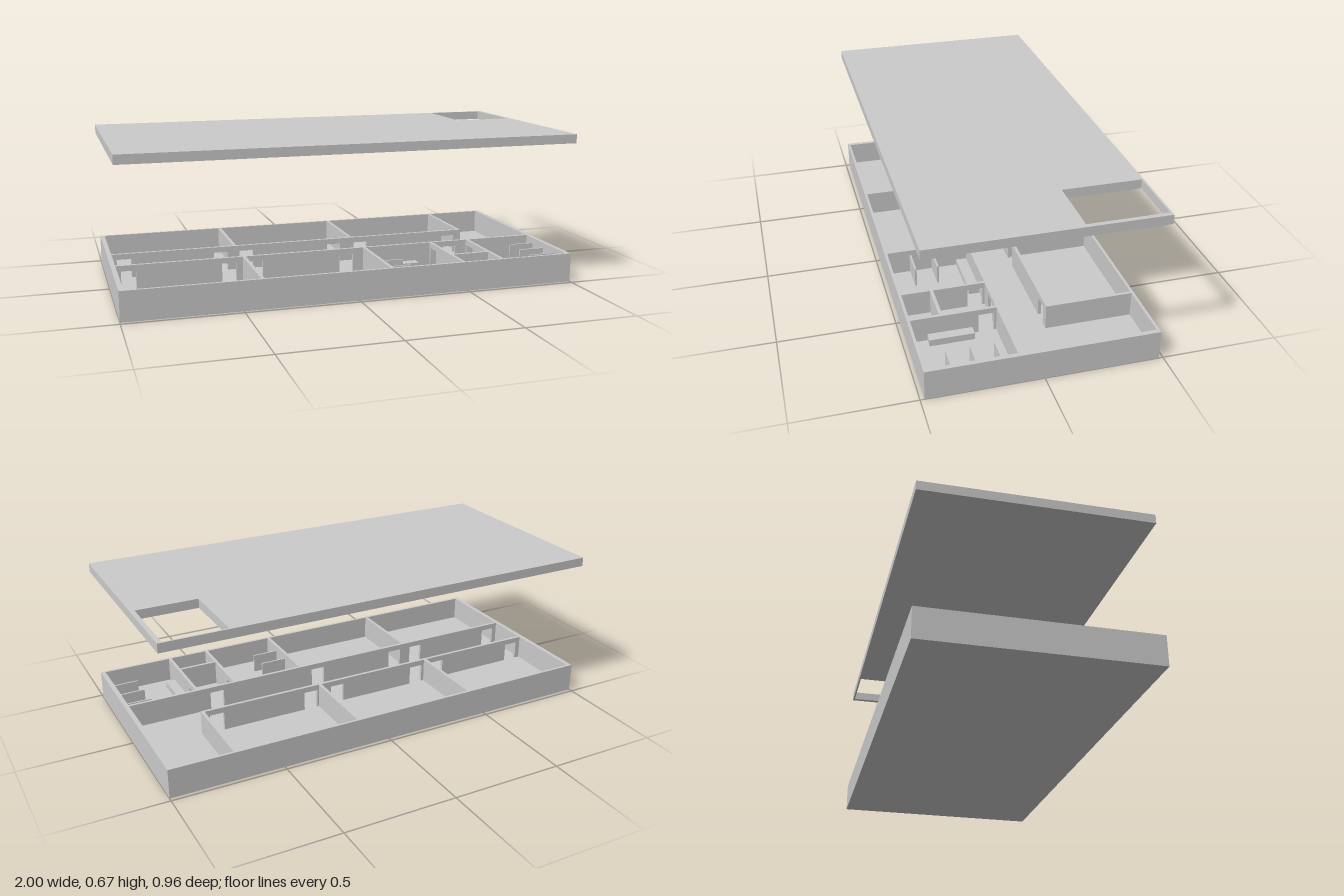
import * as THREE from 'three';

const X = 1, Z = 0.482;           // half length and half depth
const FLOOR = 0.02, TOP = 0.13;   // floor surface and wall top
const DOOR_TOP = 0.105, DOOR_W = 0.065;
const T = 0.014;                  // inner wall thickness
const HALL = 0.1;                 // corridor wall distance from centre

export function createModel() {
  const group = new THREE.Group();
  const material = new THREE.MeshStandardMaterial({ color: 0xcccccc });

  const add = (name, geometry, parent = group) => {
    const mesh = new THREE.Mesh(geometry, material);
    mesh.name = name;
    parent.add(mesh);
    return mesh;
  };

  const box = (name, x0, x1, y0, y1, z0, z1) =>
    add(name, new THREE.BoxGeometry(x1 - x0, y1 - y0, z1 - z0))
      .position.set((x0 + x1) / 2, (y0 + y1) / 2, (z0 + z1) / 2);

  // Wall from a to b with door openings reaching down to the floor
  const wallGeometry = (a, b, doors = []) => {
    const s = new THREE.Shape();
    s.moveTo(a, FLOOR);
    for (const d of doors) {
      s.lineTo(d - DOOR_W / 2, FLOOR);
      s.lineTo(d - DOOR_W / 2, DOOR_TOP);
      s.lineTo(d + DOOR_W / 2, DOOR_TOP);
      s.lineTo(d + DOOR_W / 2, FLOOR);
    }
    s.lineTo(b, FLOOR);
    s.lineTo(b, TOP);
    s.lineTo(a, TOP);
    s.closePath();
    return new THREE.ExtrudeGeometry(s, { depth: T, bevelEnabled: false }).translate(0, 0, -T / 2);
  };
  const wallAlongX = (name, x0, x1, z, doors) =>
    add(name, wallGeometry(x0, x1, doors).translate(0, 0, z));
  const wallAlongZ = (name, z0, z1, x, doors = []) =>
    add(name, wallGeometry(-z1, -z0, doors.map((d) => -d).sort((p, q) => p - q))
      .rotateY(Math.PI / 2).translate(x, 0, 0));

  // Shell: floor plate and outer walls in one open tray
  const rect = (path, x0, x1, y0, y1) => {
    path.moveTo(x0, y0);
    path.lineTo(x1, y0);
    path.lineTo(x1, y1);
    path.lineTo(x0, y1);
    path.closePath();
    return path;
  };
  const ring = (y0, y1, hole) => {
    const s = rect(new THREE.Shape(), -X, X, -Z, Z);
    if (hole) s.holes.push(rect(new THREE.Path(), ...hole));
    return new THREE.ExtrudeGeometry(s, { depth: y1 - y0, bevelEnabled: false })
      .rotateX(-Math.PI / 2).translate(0, y0, 0);
  };
  const inX = X - 0.02, inZ = Z - 0.012;
  add('floor', ring(0, FLOOR));
  add('outerWalls', ring(FLOOR, TOP, [-inX, inX, -inZ, inZ]));

  // Raised roof slab with the stairwell opening
  add('roofSlab', ring(0.63, 0.67, [0.713, 0.98, 0.14, 0.474]));

  // Corridor walls: each room has a door near both ends
  const cross = [-0.417, 0.148, 0.713];
  const doors = [-0.925, -0.485, -0.365, 0.06, 0.195, 0.65];
  wallAlongX('backCorridorWall', -inX, cross[2] + T / 2, -HALL, doors);
  wallAlongX('frontCorridorWall', -inX, inX, HALL, [...doors.slice(0, 4), 0.572]);

  // Room dividers
  for (const x of cross) wallAlongZ('backRoomWall', -inZ, -HALL, x);
  for (const x of cross.slice(0, 2)) wallAlongZ('frontRoomWall', HALL, inZ, x);

  // Washroom block: lobby with side doors and a service closet behind it
  const lobby = [0.48, 0.665];
  for (const x of lobby) wallAlongZ('lobbyWall', HALL, inZ, x, [0.15]);
  wallAlongX('closetWall', lobby[0], lobby[1], 0.34);

  // Stall partitions on the outer sides of both washrooms
  for (const z of [0.165, 0.265, 0.365]) {
    if (z > 0.2) box('leftStallPartition', 0.155, 0.275, FLOOR, 0.105, z - 0.004, z + 0.004);
    box('rightStallPartition', 0.86, inX, FLOOR, 0.105, z - 0.004, z + 0.004);
  }

  // Wash counters
  box('leftWashCounter', 0.16, 0.4, FLOOR, 0.05, 0.108, 0.155);
  box('rightWashCounter', 0.672, 0.715, FLOOR, 0.05, 0.21, 0.4);

  return group;
}
